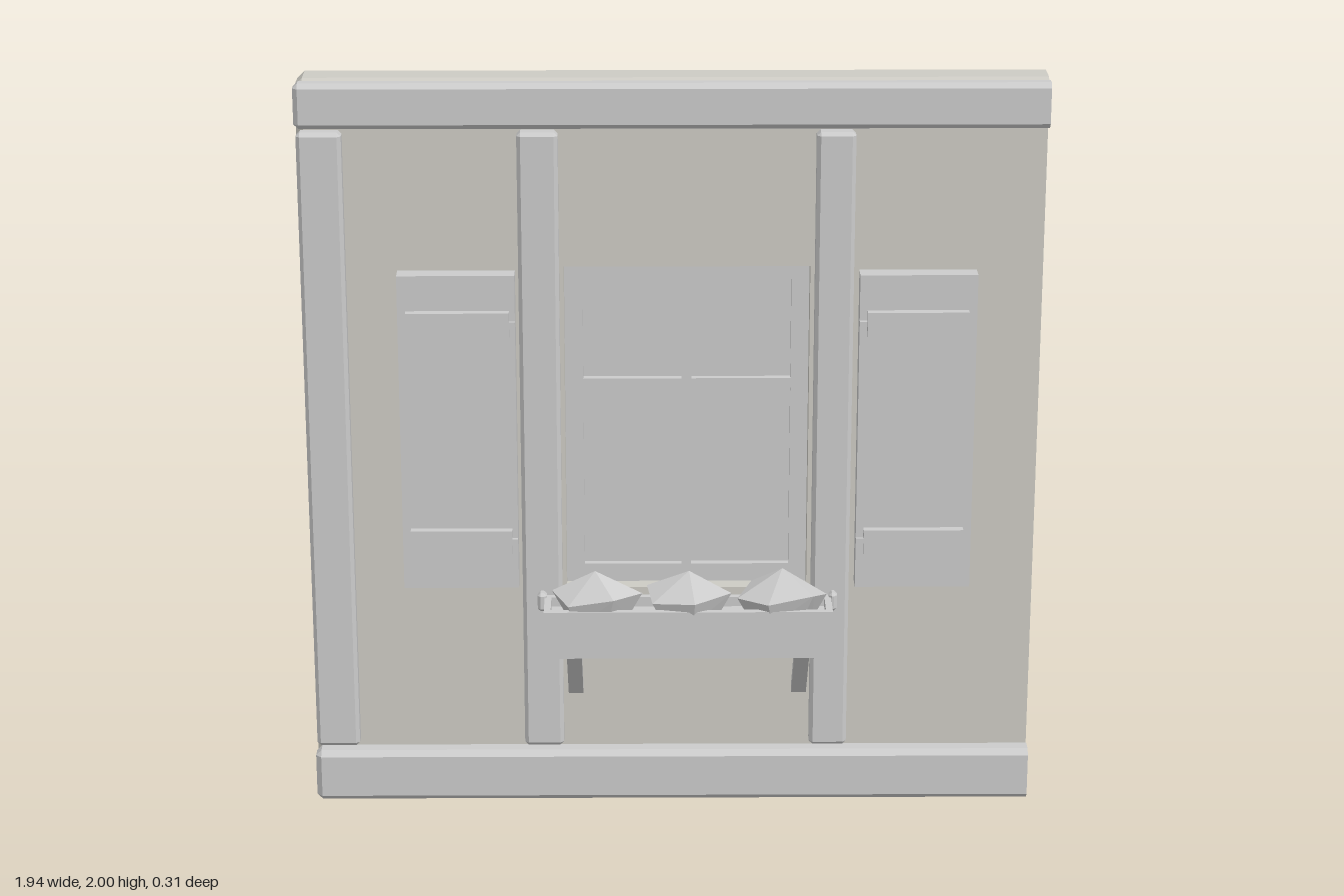
import * as THREE from 'three';
import { ConvexGeometry } from 'three/addons/geometries/ConvexGeometry.js';

const grey = new THREE.MeshStandardMaterial({ color: 0xcccccc, flatShading: true });
const plaster = new THREE.MeshStandardMaterial({ color: 0xcdcbc4, flatShading: true });

// Block between two corners; c chamfers the edges, sides listed in `sharp` stay square
function block(name, [x0, x1], [y0, y1], [z0, z1], c = 0, sharp = '', mat = grey) {
  let geo;
  if (c === 0) {
    geo = new THREE.BoxGeometry(x1 - x0, y1 - y0, z1 - z0);
    geo.translate((x0 + x1) / 2, (y0 + y1) / 2, (z0 + z1) / 2);
  } else {
    const pts = new Map();
    const add = (x, y, z) => pts.set([x, y, z].map(v => v.toFixed(4)).join(), new THREE.Vector3(x, y, z));
    for (const [x, dx, kx] of [[x0, 1, 'l'], [x1, -1, 'r']])
      for (const [y, dy, ky] of [[y0, 1, 'b'], [y1, -1, 't']])
        for (const [z, dz] of [[z0, 1], [z1, -1]]) {
          const cx = sharp.includes(kx) ? 0 : c * dx;
          const cy = sharp.includes(ky) ? 0 : c * dy;
          const cz = c * dz;
          add(x, y + cy, z + cz);
          add(x + cx, y, z + cz);
          add(x + cx, y + cy, z);
        }
    geo = new ConvexGeometry([...pts.values()]);
  }
  const mesh = new THREE.Mesh(geo, mat);
  mesh.name = name;
  return mesh;
}

function group(name, ...parts) {
  const g = new THREE.Group();
  g.name = name;
  g.add(...parts);
  return g;
}

// Window opening
const HX = [-0.283, 0.362], HY = [0.6, 1.5];

function makeWall() {
  const z = [-0.155, -0.035], c = 0.02;
  return group('wall',
    block('wallLeftPanel', [-0.97, HX[0]], [0, 2], z, c, 'r', plaster),
    block('wallRightPanel', [HX[1], 0.97], [0, 2], z, c, 'lr', plaster),
    block('wallAboveWindow', HX, [HY[1], 2], z, c, 'lrb', plaster),
    block('wallBelowWindow', HX, [0, HY[0]], z, c, 'lrt', plaster));
}

function makeBeams() {
  const g = group('timberFrame',
    block('topBeam', [-0.97, 0.97], [1.88, 2], [-0.03, 0.02], 0.013, 'r'),
    block('bottomBeam', [-0.97, 0.97], [0, 0.145], [-0.036, 0.03], 0.015, 'r'));
  for (const x of [[-0.966, -0.85], [-0.4, -0.294], [0.373, 0.474]])
    g.add(block('post', x, [0.155, 1.87], [-0.036, 0.014], 0.01));
  return g;
}

// Frame with four panes
function makeWindow() {
  const shape = new THREE.Shape();
  const rect = (path, x0, x1, y0, y1) =>
    path.moveTo(x0, y0).lineTo(x1, y0).lineTo(x1, y1).lineTo(x0, y1).closePath();
  rect(shape, ...HX, ...HY);
  for (const [x0, x1] of [[-0.235, 0.026], [0.052, 0.315]])
    for (const [y0, y1] of [[0.65, 1.15], [1.177, 1.452]]) {
      const hole = new THREE.Path();
      rect(hole, x0, x1, y0, y1);
      shape.holes.push(hole);
    }
  const geo = new THREE.ExtrudeGeometry(shape, { depth: 0.06, bevelEnabled: false });
  geo.translate(0, 0, -0.142);
  const frame = new THREE.Mesh(geo, grey);
  frame.name = 'windowFrame';
  return group('window', frame, block('glass', [-0.25, 0.33], [0.64, 1.46], [-0.122, -0.102]));
}

// Shutter board with two straps, each with a hinge tab towards the window
function makeShutter(name, x, strapX, tabX) {
  const g = group(name, block('shutterBoard', x, [0.62, 1.49], [-0.036, 0.017]));
  for (const y of [0.755, 1.36])
    g.add(block('strap', strapX, [y - 0.035, y + 0.035], [0.016, 0.04]),
      block('hingeTab', tabX, [y - 0.007, y + 0.007], [0.016, 0.028]));
  return g;
}

// Faceted plant: lumpy rings closed by an off-centre peak
function makeBush(x, peakX, peakY, turn) {
  const pts = [new THREE.Vector3(x + peakX, peakY, 0.07)];
  for (const [y, r] of [[0.56, 0.7], [0.625, 1]])
    for (let i = 0; i < 6; i++) {
      const a = turn + i * Math.PI / 3;
      pts.push(new THREE.Vector3(
        x + Math.cos(a) * 0.122 * r, y + 0.014 * Math.sin(2 * a + turn), 0.076 + Math.sin(a) * 0.077 * r));
    }
  const bush = new THREE.Mesh(new ConvexGeometry(pts), grey);
  bush.name = 'bush';
  return bush;
}

function makePlanter() {
  const X = [-0.341, 0.426], Y = [0.465, 0.597], t = 0.018;
  const g = group('planter',
    block('planterFloor', X, [Y[0], Y[0] + t], [0.012, 0.14]),
    block('planterFront', X, Y, [0.14 - t, 0.14]),
    block('planterBack', X, Y, [0.012, 0.012 + t]),
    block('planterEnd', [X[0], X[0] + t], Y, [0.012, 0.14]),
    block('planterEnd', [X[1] - t, X[1]], Y, [0.012, 0.14]),
    block('soil', [X[0] + t, X[1] - t], [0.48, 0.57], [0.03, 0.122]),
    block('sideClip', [-0.36, -0.335], [0.558, 0.61], [0.005, 0.04], 0.008),
    block('sideClip', [0.42, 0.442], [0.558, 0.61], [0.005, 0.04], 0.008),
    makeBush(-0.2, -0.005, 0.688, 0.15),
    makeBush(0.045, 0, 0.688, 0.4),
    makeBush(0.293, 0, 0.695, -0.2));
  // Slanted struts, drawn in the side plane and turned to face along x
  const side = new THREE.Shape([[0.13, 0.466], [0.098, 0.466], [-0.036, 0.325], [-0.036, 0.29]]
    .map(([z, y]) => new THREE.Vector2(-z, y)));
  for (const x of [-0.281, 0.325]) {
    const geo = new THREE.ExtrudeGeometry(side, { depth: 0.04, bevelEnabled: false });
    geo.rotateY(Math.PI / 2).translate(x, 0, 0);
    const strut = new THREE.Mesh(geo, grey);
    strut.name = 'strut';
    g.add(strut);
  }
  return g;
}

export function createModel() {
  return group('windowWall',
    makeWall(),
    makeBeams(),
    makeWindow(),
    makeShutter('rightShutter', [-0.717, -0.41], [-0.695, -0.425], [-0.43, -0.41]),
    makeShutter('leftShutter', [0.49, 0.797], [0.51, 0.775], [0.49, 0.515]),
    makePlanter());
}
